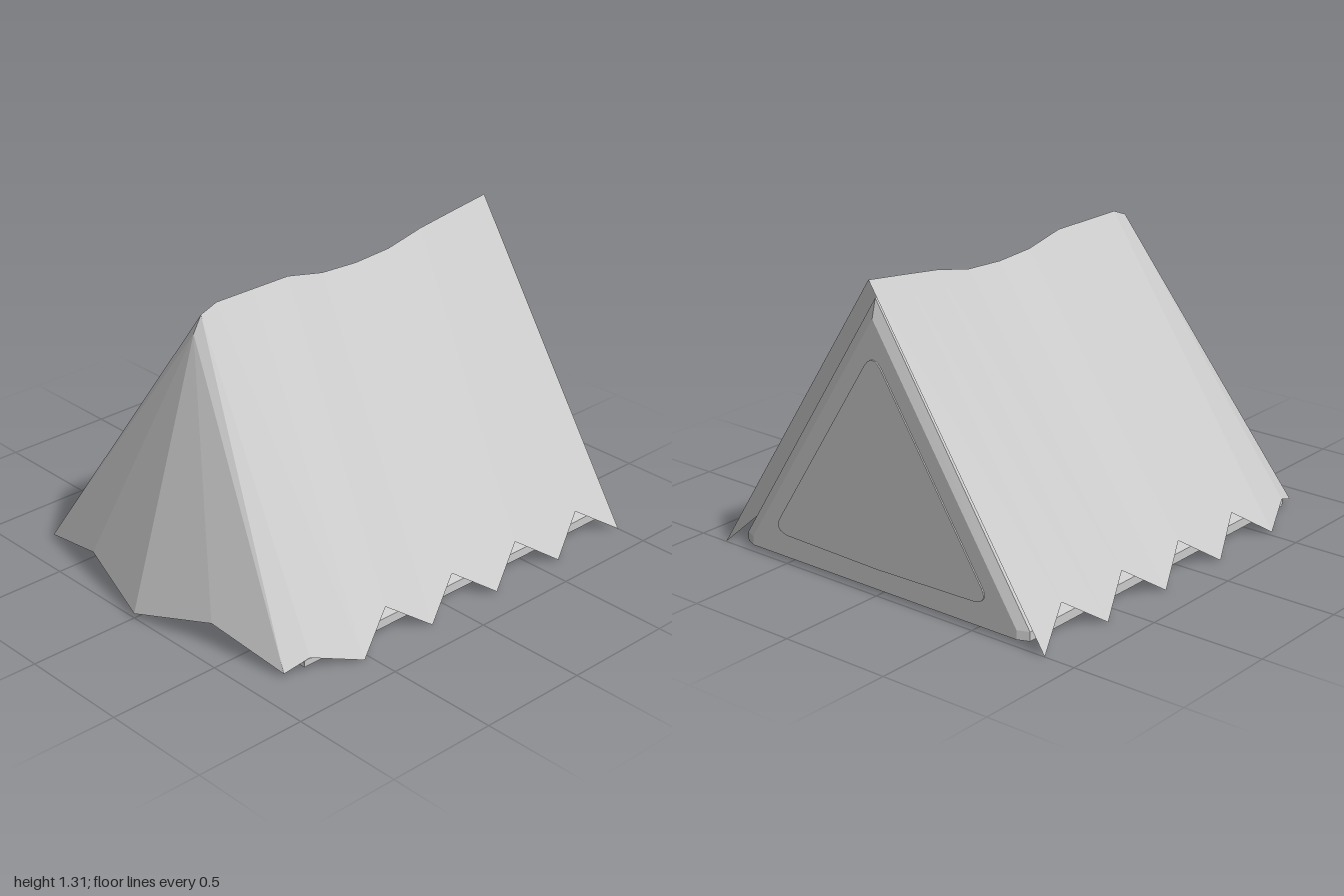
import * as THREE from 'three';

const material = () => new THREE.MeshStandardMaterial({
  color: 0xcccccc, flatShading: true, side: THREE.DoubleSide,
});

// Flat-shaded mesh from a list of triangles, each three [x, y, z] corners
function triangleMesh(name, triangles) {
  const geometry = new THREE.BufferGeometry();
  geometry.setAttribute('position', new THREE.Float32BufferAttribute(triangles.flat(2), 3));
  geometry.computeVertexNormals();
  const mesh = new THREE.Mesh(geometry, material());
  mesh.name = name;
  return mesh;
}

const quad = (a, b, c, d) => [[a, b, c], [a, c, d]];
const mirrorZ = ([x, y, z]) => [x, y, -z];
const mirrored = (tris) => tris.map(([a, b, c]) => [a, c, b].map(mirrorZ));

// Sagging ridge line of the outer sheet: [x, y]
const ridge = [
  [-0.65, 1.16], [-0.61, 1.23], [-0.53, 1.26], [-0.34, 1.26], [-0.15, 1.26],
  [0.04, 1.22], [0.23, 1.21], [0.42, 1.22], [0.61, 1.26], [0.8, 1.285], [1, 1.31],
];

// Hem: two corner points, then a regular zigzag
const hem = ridge.map(([x], i) => {
  if (i === 0) return [-0.85, 0.02, 0.74];
  if (i === 1) return [-0.74, 0.06, 0.77];
  return i % 2 ? [x, 0.13, 0.78] : [x, 0, 0.86];
});

function flySheet() {
  const side = [];
  for (let i = 0; i < ridge.length - 1; i++) {
    side.push(...quad(hem[i], hem[i + 1], [...ridge[i + 1], 0], [...ridge[i], 0]));
  }
  return triangleMesh('flySheet', [...side, ...mirrored(side)]);
}

// Closed end of the outer sheet, fanned out from the ridge
function endPanel() {
  const apex = [...ridge[0], 0];
  const notch = [-0.91, 0.11, 0.38];
  const half = [[apex, [-1, 0.02, 0], notch], [apex, notch, hem[0]]];
  return triangleMesh('endPanel', [...half, ...mirrored(half)]);
}

// Inner tent: pentagon sections with a low upright wall, following the ridge
function innerTent() {
  const section = (xBase, xTop, top, halfWidth = 0.76) => [
    [xBase, 0.02, halfWidth], [xBase, 0.06, halfWidth], [xTop, top, 0],
    [xBase, 0.06, -halfWidth], [xBase, 0.02, -halfWidth],
  ];
  const rings = ridge.slice(1, -1).map(([x, y], i) => section(i ? x : -0.76, x, y - 0.08));
  rings.push(section(0.965, 0.965, 1.23), section(0.985, 0.985, 1.15, 0.71));
  const tris = [];
  for (let i = 0; i < rings.length - 1; i++) {
    for (let j = 0; j < 5; j++) {
      const k = (j + 1) % 5;
      tris.push(...quad(rings[i][j], rings[i + 1][j], rings[i + 1][k], rings[i][k]));
    }
  }
  // End caps
  const back = rings[0], front = rings[rings.length - 1];
  for (let j = 1; j < 4; j++) {
    tris.push([back[0], back[j], back[j + 1]], [front[0], front[j + 1], front[j]]);
  }
  return triangleMesh('innerTent', tris);
}

// Rounded triangular door on the open end
function door() {
  const s = new THREE.Shape();
  s.moveTo(0, 0.11);
  s.lineTo(0.5, 0.12);
  s.quadraticCurveTo(0.58, 0.13, 0.54, 0.19);
  s.lineTo(0.04, 0.96);
  s.quadraticCurveTo(0, 1.01, -0.04, 0.96);
  s.lineTo(-0.54, 0.19);
  s.quadraticCurveTo(-0.58, 0.13, -0.5, 0.12);
  s.closePath();
  const geometry = new THREE.ExtrudeGeometry(s, { depth: 0.008, bevelEnabled: false, curveSegments: 6 });
  geometry.rotateY(Math.PI / 2).translate(0.983, 0, 0);
  const mesh = new THREE.Mesh(geometry, material());
  mesh.name = 'door';
  return mesh;
}

export function createModel() {
  const tent = new THREE.Group();
  tent.name = 'tent';
  tent.add(flySheet(), endPanel(), innerTent(), door());
  return tent;
}
